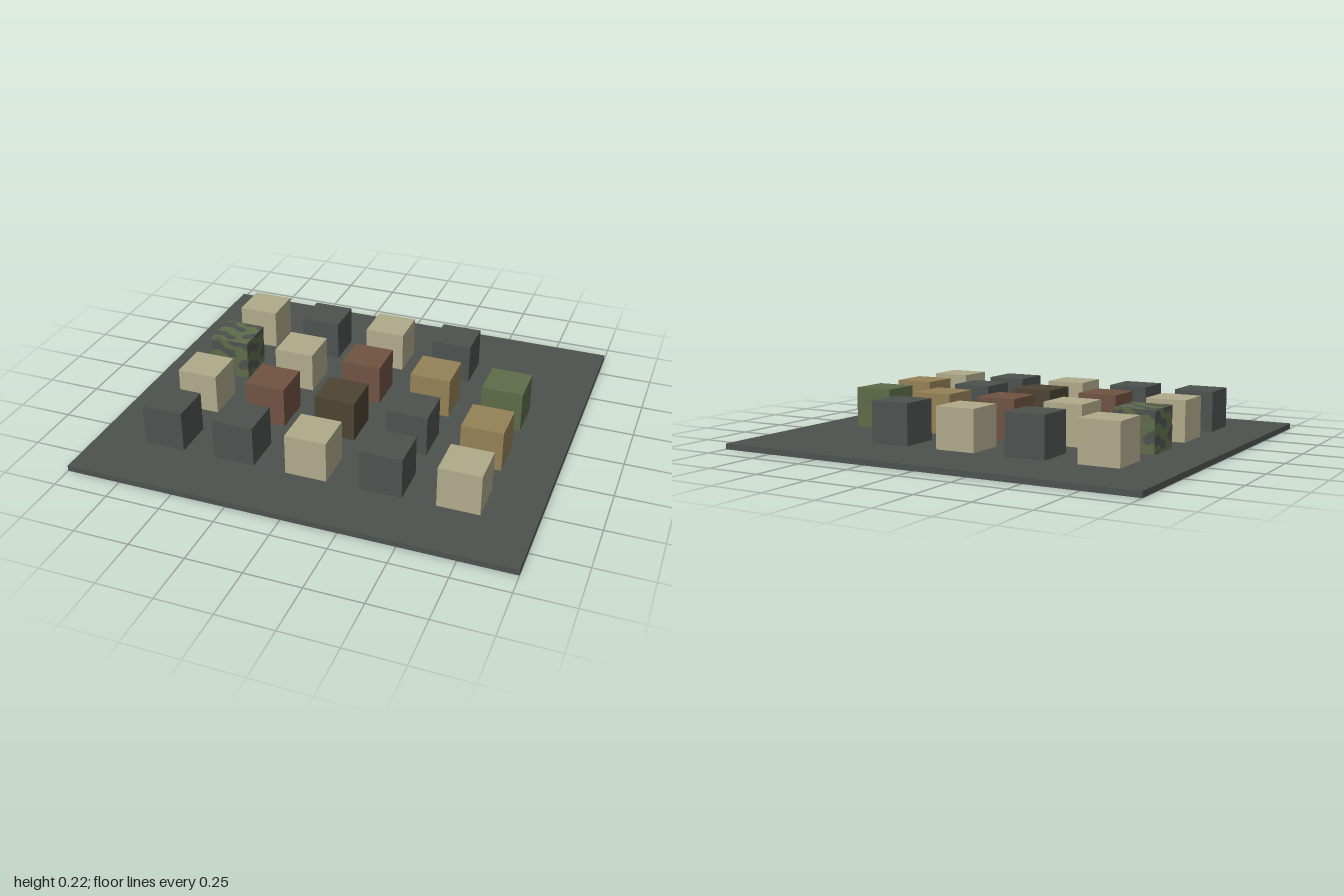
import * as THREE from 'three';

const material = (name, color) => {
  const m = new THREE.MeshStandardMaterial({ color });
  m.name = name;
  return m;
};

export function createModel() {
  const mats = {
    grey: material('dark grey', 0x4d524f),
    tan: material('sand', 0xb1aa8b),
    brown: material('red brown', 0x705342),
    ochre: material('ochre', 0x958156),
    olive: material('olive green', 0x5f6c49),
    umber: material('dark umber', 0x4d4433),
  };
  const model = new THREE.Group();
  model.name = 'colourSampleBoard';

  // Flat board
  const board = new THREE.Mesh(new THREE.BoxGeometry(2, 0.026, 1.787), mats.grey);
  board.name = 'board';
  board.position.y = 0.013;
  model.add(board);

  // Grid of sample cubes floating just above the board, back row first
  const size = 0.188, step = 0.337;
  const cubeGeometry = new THREE.BoxGeometry(size, size, size);
  const rows = [
    ['tan', 'grey', 'tan', 'grey', null],
    ['camo', 'tan', 'brown', 'ochre', 'olive'],
    ['tan', 'brown', 'umber', 'grey', 'ochre'],
    ['grey', 'grey', 'tan', 'grey', 'tan'],
  ];
  rows.forEach((row, r) => row.forEach((key, c) => {
    if (!key) return;
    const cube = new THREE.Mesh(cubeGeometry, mats[key === 'camo' ? 'olive' : key]);
    cube.name = key + 'Cube';
    cube.position.set((c - 2) * step, 0.125, -0.487 + r * step);
    if (key === 'camo') addPatches(cube, size, mats.grey);
    model.add(cube);
  }));
  return model;
}

// Camouflage patches on all six faces, in face units from -0.5 to 0.5
function addPatches(cube, size, mat) {
  const outlines = [
    [[-0.5, 0.42], [-0.3, 0.48], [-0.12, 0.28], [0.12, 0.24], [0.2, 0.06], [0, 0.02], [-0.16, 0.14], [-0.34, 0.2], [-0.5, 0.12]],
    [[-0.08, 0.5], [0.1, 0.36], [0.32, 0.4], [0.5, 0.26], [0.5, 0.5]],
    [[-0.5, -0.1], [-0.3, -0.06], [-0.12, -0.2], [0.06, -0.24], [0.14, -0.42], [-0.08, -0.44], [-0.24, -0.3], [-0.5, -0.34]],
    [[0.5, 0.06], [0.32, -0.02], [0.2, -0.18], [0.3, -0.3], [0.5, -0.24]],
    [[-0.44, -0.5], [-0.34, -0.42], [-0.2, -0.5]],
  ];
  const shapes = outlines.map(points =>
    new THREE.Shape(points.map(([x, y]) => new THREE.Vector2(x * size, y * size))));
  const geometry = new THREE.ShapeGeometry(shapes);
  geometry.translate(0, 0, size / 2 + 0.001);
  const q = Math.PI / 2;
  [[0, 0], [0, q], [0, 2 * q], [0, -q], [-q, 0], [q, 0]].forEach(([rx, ry]) => {
    const patches = new THREE.Mesh(geometry, mat);
    patches.name = 'camouflagePatches';
    patches.rotation.set(rx, ry, 0);
    cube.add(patches);
  });
}
